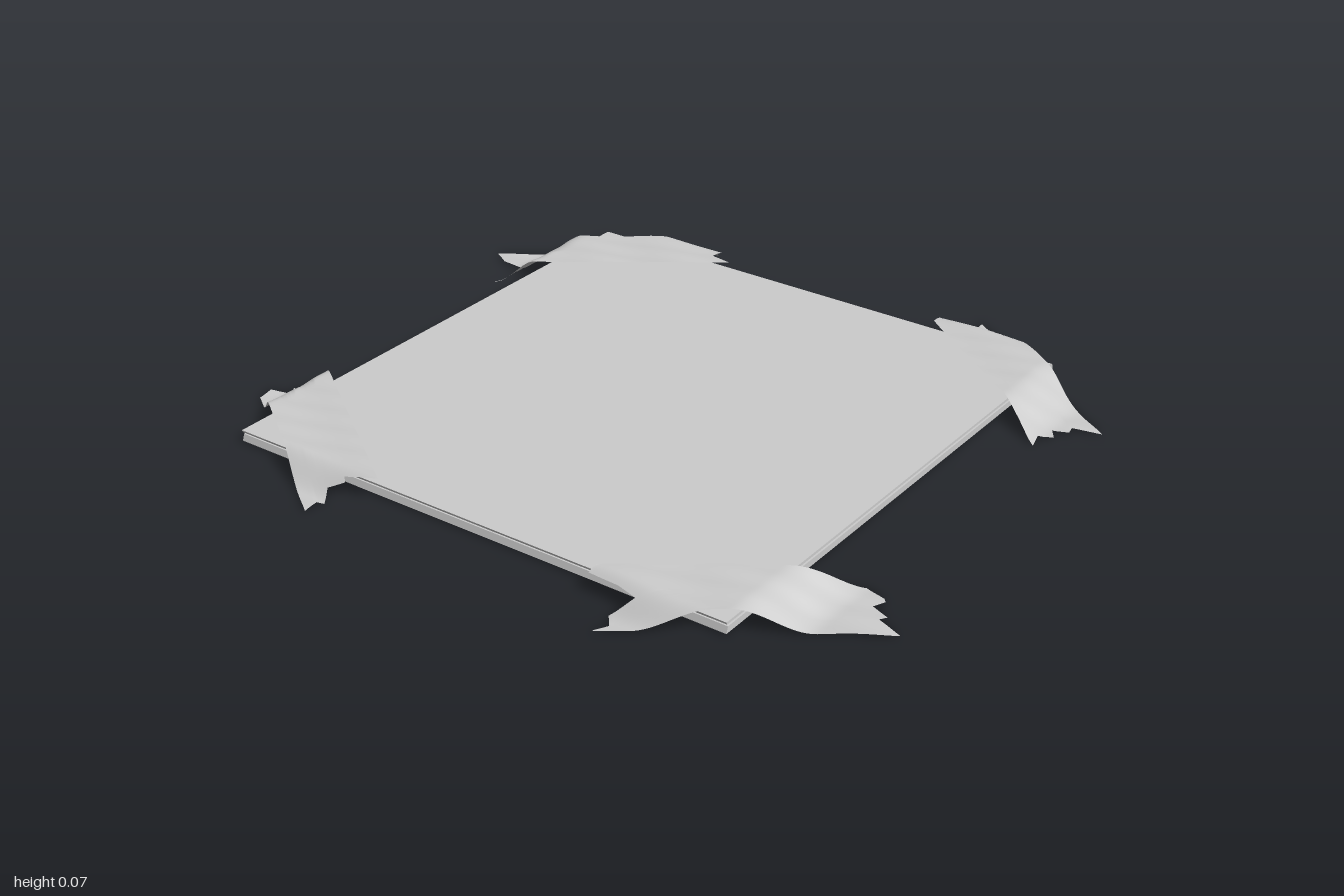
import * as THREE from 'three';

const board = { left: -0.76, right: 0.77, back: -0.79, front: 0.69 };
const material = new THREE.MeshStandardMaterial({ color: 0xcccccc });
const tapeMaterial = new THREE.MeshStandardMaterial({ color: 0xcccccc, side: THREE.DoubleSide });

// Torn ends of each tape as [x, z] points, from its outer edge to its inner edge.
const tapes = {
  backLeftTape: [
    [[-0.57, -0.92], [-0.52, -0.93], [-0.505, -0.875], [-0.475, -0.89], [-0.46, -0.84], [-0.43, -0.85], [-0.39, -0.86]],
    [[-0.92, -0.42], [-0.87, -0.43], [-0.865, -0.41], [-0.83, -0.43], [-0.81, -0.39], [-0.8, -0.4], [-0.78, -0.31]],
  ],
  backRightTape: [
    [[0.495, -1], [0.46, -0.945], [0.455, -0.855], [0.43, -0.85], [0.415, -0.87], [0.38, -0.85], [0.34, -0.89]],
    [[0.845, -0.485], [0.83, -0.435], [0.8, -0.43], [0.785, -0.39], [0.765, -0.4], [0.75, -0.4], [0.735, -0.335]],
  ],
  frontLeftTape: [
    [[-0.92, 0.44], [-0.88, 0.46], [-0.855, 0.44], [-0.81, 0.48], [-0.8, 0.425], [-0.797, 0.34], [-0.775, 0.345]],
    [[-0.54, 1], [-0.515, 0.93], [-0.495, 0.94], [-0.475, 0.89], [-0.445, 0.905], [-0.435, 0.895], [-0.42, 0.84]],
  ],
  frontRightTape: [
    [[0.92, 0.395], [0.86, 0.4], [0.85, 0.36], [0.83, 0.4], [0.81, 0.375], [0.8, 0.335], [0.75, 0.335]],
    [[0.54, 0.95], [0.52, 0.875], [0.495, 0.88], [0.48, 0.84], [0.45, 0.86], [0.43, 0.825], [0.385, 0.835]],
  ],
};

// Point on a polyline of evenly spaced parameters, t from 0 to 1.
function along(points, t) {
  const f = t * (points.length - 1);
  const i = Math.min(Math.floor(f), points.length - 2);
  return [0, 1].map((k) => THREE.MathUtils.lerp(points[i][k], points[i + 1][k], f - i));
}

// Tape lies flat above the board and slopes to the ground beyond its edges.
function tapeHeight(x, z) {
  const fall = Math.max(
    THREE.MathUtils.smoothstep(x, 0.77, 0.87),
    THREE.MathUtils.smoothstep(-x, 0.77, 0.87),
    THREE.MathUtils.smoothstep(z, board.front, 0.85),
    THREE.MathUtils.smoothstep(-z, -board.back, 0.88),
  );
  const ripple = 0.002 * Math.sin(24 * x + 17 * z) + 0.001 * Math.sin(70 * x - 20 * z);
  return 0.071 - 0.061 * fall + ripple;
}

function makeTape(name, [start, end]) {
  const geometry = new THREE.PlaneGeometry(1, 1, 24, 56);
  const { position, uv } = geometry.attributes;
  for (let i = 0; i < position.count; i++) {
    const a = along(start, uv.getX(i));
    const b = along(end, uv.getX(i));
    const x = THREE.MathUtils.lerp(a[0], b[0], uv.getY(i));
    const z = THREE.MathUtils.lerp(a[1], b[1], uv.getY(i));
    position.setXYZ(i, x, tapeHeight(x, z), z);
  }
  geometry.computeVertexNormals();
  const mesh = new THREE.Mesh(geometry, tapeMaterial);
  mesh.name = name;
  return mesh;
}

// Card folded along its right edge, with a narrow gap between the two leaves.
function makeFoldedCard() {
  const low = 0.011, high = 0.041, radius = (high - low) / 2;
  const foldX = board.right - radius;
  const shape = new THREE.Shape();
  shape.moveTo(board.left, low);
  shape.lineTo(foldX, low);
  shape.absarc(foldX, low + radius, radius, -Math.PI / 2, Math.PI / 2, false);
  shape.lineTo(board.left, high);
  shape.lineTo(board.left + 0.003, 0.034);
  shape.lineTo(foldX, 0.034);
  shape.lineTo(foldX, 0.028);
  shape.lineTo(board.left + 0.006, 0.028);
  shape.closePath();
  const geometry = new THREE.ExtrudeGeometry(shape, {
    depth: board.front - board.back, bevelEnabled: false, curveSegments: 12,
  });
  geometry.translate(0, 0, board.back);
  const mesh = new THREE.Mesh(geometry, material);
  mesh.name = 'foldedCard';
  return mesh;
}

export function createModel() {
  const model = new THREE.Group();
  model.name = 'tapedCard';
  model.add(makeFoldedCard());
  for (const [name, ends] of Object.entries(tapes)) {
    // Model's own left is +x, so the names swap sides.
    const ownSide = name.includes('Left') ? name.replace('Left', 'Right') : name.replace('Right', 'Left');
    model.add(makeTape(ownSide, ends));
  }
  return model;
}
